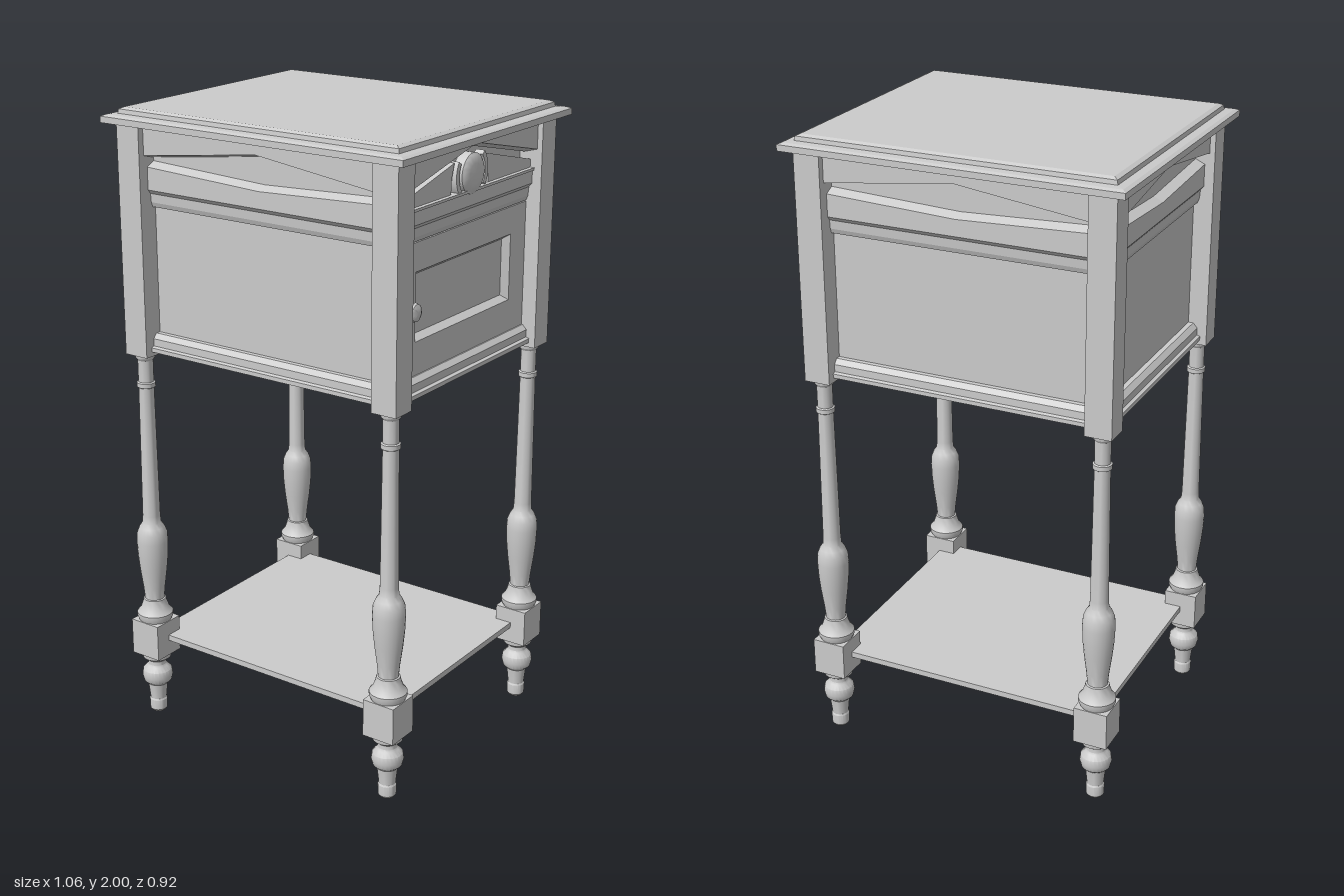
import * as THREE from 'three';
import { toCreasedNormals } from 'three/addons/utils/BufferGeometryUtils.js';

const mat = new THREE.MeshStandardMaterial({ color: 0xcccccc });

function add(parent, name, geo, x = 0, y = 0, z = 0) {
  const m = new THREE.Mesh(geo, mat);
  m.name = name;
  m.position.set(x, y, z);
  parent.add(m);
  return m;
}

const box = (parent, name, w, y0, y1, d, x = 0, z = 0) =>
  add(parent, name, new THREE.BoxGeometry(w, y1 - y0, d), x, (y0 + y1) / 2, z);

const lathe = (pts, n = 24) =>
  toCreasedNormals(new THREE.LatheGeometry(pts.map(p => new THREE.Vector2(...p)), n), 0.6);

// Flat polygon plate, extruded toward +z
const polygon = pts => new THREE.Shape(pts.map(p => new THREE.Vector2(...p)));
const plate = (shape, depth) =>
  new THREE.ExtrudeGeometry(shape, { depth, bevelEnabled: false, curveSegments: 24 });

// Slopes one edge of a plate by shifting its front vertices between two heights
function slopeEdge(geo, yMin, yMax, dy) {
  const p = geo.attributes.position;
  for (let i = 0; i < p.count; i++)
    if (p.getZ(i) > 0.001 && p.getY(i) > yMin && p.getY(i) < yMax) p.setY(i, p.getY(i) + dy);
  geo.computeVertexNormals();
  return geo;
}

// Straight moulding from a [depth, height] profile, running along x
function moulding(parent, name, profile, w) {
  const g = plate(polygon(profile), 2 * w);
  g.rotateY(-Math.PI / 2);
  add(parent, name, g, w);
}

// Stack of rectangles [halfWidth, halfHeight, z] joined by flat faces
function rectLoft(sections) {
  const pos = [];
  const ring = ([w, h, z]) => [[-w, -h, z], [w, -h, z], [w, h, z], [-w, h, z]];
  for (let i = 0; i + 1 < sections.length; i++) {
    const lo = ring(sections[i]), hi = ring(sections[i + 1]);
    for (let k = 0; k < 4; k++) {
      const n = (k + 1) % 4;
      if (sections[i][0] > 0) pos.push(...lo[k], ...lo[n], ...hi[n]);
      if (sections[i + 1][0] > 0) pos.push(...lo[k], ...hi[n], ...hi[k]);
    }
  }
  const g = new THREE.BufferGeometry();
  g.setAttribute('position', new THREE.Float32BufferAttribute(pos, 3));
  g.computeVertexNormals();
  return g;
}

// Mouldings and pediment shared by all four sides; local +z is outward
function sidePanel(name, w, apex, angle, dist) {
  const g = new THREE.Group();
  g.name = name;
  moulding(g, 'lowerMoulding', [[0, 1.255], [0.04, 1.255], [0.04, 1.268], [0.03, 1.272],
    [0.03, 1.295], [0.016, 1.31], [0, 1.31]], w);
  moulding(g, 'upperMoulding', [[0, 1.7], [0.012, 1.703], [0.018, 1.718], [0.02, 1.745],
    [0.03, 1.757], [0, 1.757]], w);
  const header = plate(polygon([[-w, 1.85], [0, apex - 0.007], [w, 1.85], [w, 1.956], [-w, 1.956]]), 0.044);
  add(g, 'pedimentHeader', slopeEdge(header, 1.8, 1.95, 0.012));
  g.rotation.y = angle;
  g.position.set(Math.sin(angle) * dist, 0, Math.cos(angle) * dist);
  return g;
}

// Plain sides have a frieze with a sagging, sloped upper edge
function addFrieze(g, w) {
  const frieze = plate(polygon([[-w, 1.757], [w, 1.757], [w, 1.84], [0, 1.822], [-w, 1.84]]), 0.03);
  add(g, 'frieze', slopeEdge(frieze, 1.78, 1.9, -0.014));
}

function addDoor(g, w) {
  // Door leaf with a sunken, bevelled panel
  const leaf = polygon([[-w, 1.31], [w, 1.31], [w, 1.7], [-w, 1.7]]);
  leaf.holes.push(polygon([[-0.26, 1.41], [-0.26, 1.615], [0.26, 1.615], [0.26, 1.41]]));
  add(g, 'doorFrame', plate(leaf, 0.012));
  add(g, 'doorPanel', rectLoft([[0.26, 0.1025, 0.012], [0.245, 0.0875, -0.01], [0, 0, -0.01]]), 0, 1.5125, 0);
  // Knob on a short neck
  const knob = lathe([[0, 0], [0.014, 0], [0.011, 0.014], [0.022, 0.02], [0.028, 0.028],
    [0.025, 0.038], [0.014, 0.043], [0, 0.044]]);
  knob.rotateX(Math.PI / 2);
  add(g, 'doorKnob', knob, -0.31, 1.515, 0.012);
  // Frieze with a ledge below the pediment
  box(g, 'frieze', 2 * w, 1.757, 1.797, 0.03, 0, 0.015);
  box(g, 'pedimentLedge', 2 * w, 1.797, 1.805, 0.036, 0, 0.018);
  // Round boss flanked by arcs and tapering raised panels
  const boss = lathe([[0, 0], [0.06, 0], [0.06, 0.032], [0.054, 0.037], [0.03, 0.041], [0, 0.042]], 32);
  boss.rotateX(Math.PI / 2);
  add(g, 'roundBoss', boss, 0, 1.85, 0);
  for (const s of [-1, 1]) {
    const c = s > 0 ? 0 : Math.PI;
    const arc = new THREE.Shape();
    arc.absarc(0, 0, 0.086, c - 0.55, c + 0.7, false);
    arc.absarc(0, 0, 0.07, c + 0.7, c - 0.55, true);
    add(g, 'bossArc', plate(arc, 0.03), 0, 1.85, 0);
    const wing = [[0.1, 1.805], [w, 1.805], [w, 1.83], [0.085, 1.893], [0.098, 1.85]];
    add(g, 'pedimentWing', plate(polygon(wing.map(([x, y]) => [s * x, y])), 0.022));
  }
}

export function createModel() {
  const model = new THREE.Group();
  model.name = 'cabinetStand';

  // Stepped top
  const top = rectLoft([[0, 0, 1.955], [0.532, 0.458, 1.955], [0.532, 0.458, 1.974], [0.52, 0.446, 1.979],
    [0.495, 0.422, 1.981], [0.493, 0.42, 1.994], [0.48, 0.408, 2], [0, 0, 2]]);
  top.rotateX(-Math.PI / 2);
  add(model, 'tableTop', top);

  // Cabinet core, set well back between the posts; the door side leaves room for its sunken panel
  const px = 0.437, pz = 0.362;
  const walls = [[0.415, 1.91, 0, pz], [0.415, 1.91, Math.PI, pz],
    [0.347, 1.91, -Math.PI / 2, px], [0.347, 1.935, Math.PI / 2, px]];
  box(model, 'cabinetBody', 2 * px - 0.015, 1.255, 1.956, 2 * pz, -0.0075);
  walls.forEach(([w, apex, angle, dist], i) => {
    const side = sidePanel(['frontPanel', 'backPanel', 'rightPanel', 'doorSide'][i], w, apex, angle, dist);
    if (i === 3) addDoor(side, w); else addFrieze(side, w);
    model.add(side);
  });

  // Turned legs, each with a post above and a block at shelf height
  const upper = lathe([[0, 0.33], [0.05, 0.33], [0.058, 0.348], [0.058, 0.36], [0.046, 0.375], [0.039, 0.395],
    [0.036, 0.408], [0.031, 0.41], [0.035, 0.45], [0.043, 0.51], [0.048, 0.56], [0.05, 0.61], [0.048, 0.64],
    [0.04, 0.66], [0.03, 0.675], [0.028, 0.7], [0.024, 1.13], [0.029, 1.133], [0.029, 1.147],
    [0.024, 1.15], [0.024, 1.22], [0.03, 1.228], [0.031, 1.245]]);
  const foot = lathe([[0, 0], [0.022, 0], [0.028, 0.008], [0.029, 0.042], [0.026, 0.047], [0.032, 0.1],
    [0.045, 0.112], [0.05, 0.132], [0.047, 0.152], [0.034, 0.166], [0.03, 0.172], [0.03, 0.186],
    [0.046, 0.198], [0.048, 0.216]]);
  for (const sx of [-1, 1]) for (const sz of [-1, 1]) {
    const leg = new THREE.Group();
    leg.name = (sz > 0 ? 'front' : 'back') + (sx > 0 ? 'Left' : 'Right') + 'Leg';
    leg.position.set(sx * 0.456, 0, sz * 0.387);
    box(leg, 'cornerPost', 0.084, 1.24, 1.956, 0.08);
    add(leg, 'turnedLeg', upper);
    box(leg, 'legBlock', 0.108, 0.215, 0.335, 0.108);
    add(leg, 'turnedFoot', foot);
    model.add(leg);
  }

  // Low shelf
  box(model, 'shelf', 0.915, 0.267, 0.286, 0.775);
  return model;
}
